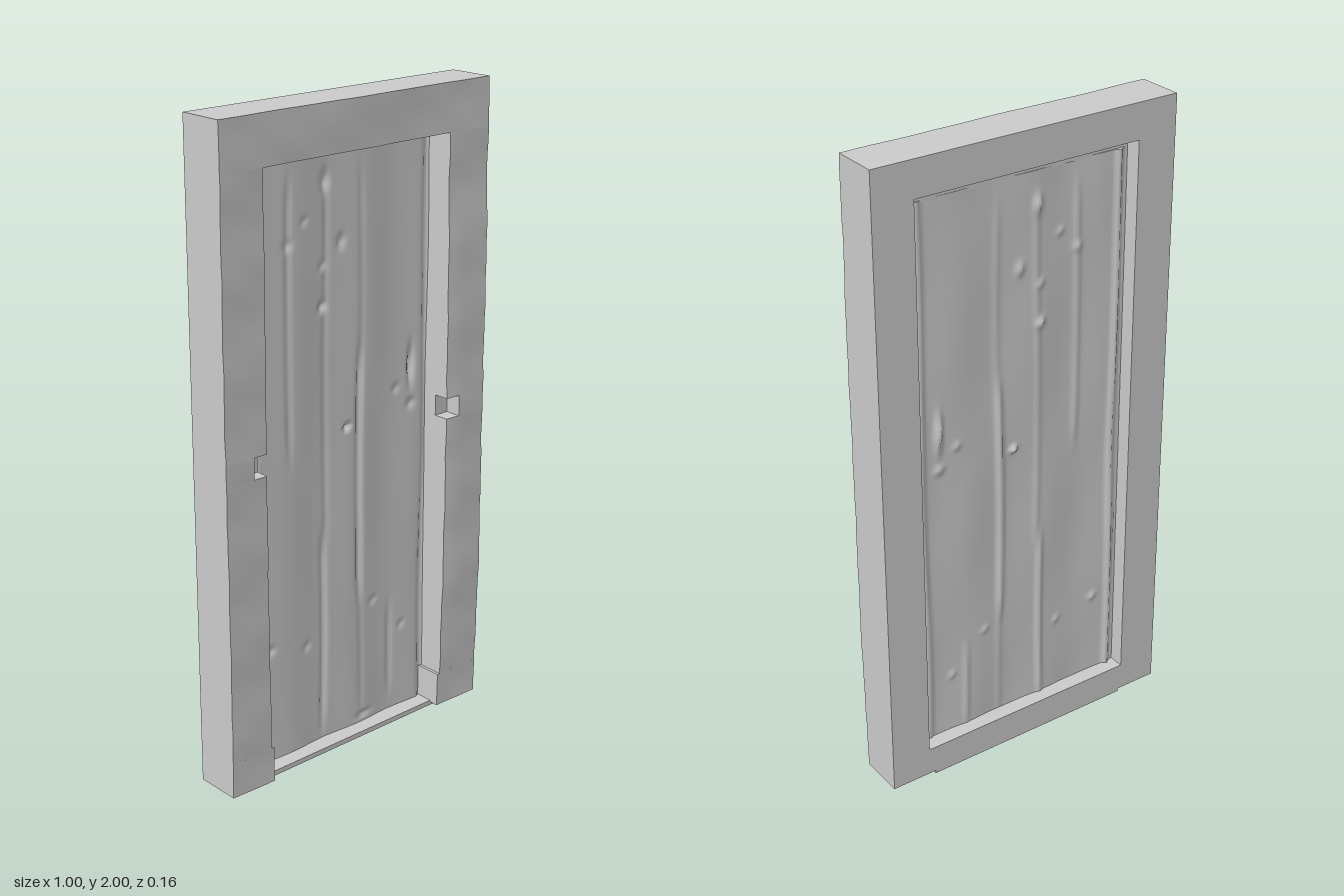
import * as THREE from 'three';

const material = new THREE.MeshStandardMaterial({ color: 0xcccccc });
const backZ = -0.08, doorZ = -0.03, faceZ = 0.067;
const openL = -0.355, openR = 0.345, openTop = 1.855;

const smooth = (a, b, v) => THREE.MathUtils.smoothstep(v, a, b);

// worn, gently wavy front of the frame; the right post bulges forward most
function wear(x, y) {
  const bulge = smooth(0.28, 0.4, x) * smooth(0.12, 0.5, y) * (1 - smooth(1.45, 1.75, y));
  return 0.008 * bulge + 0.0015 * Math.sin(x * 13 + y * 4)
    + 0.001 * Math.sin(y * 23 - x * 7) + 0.0008 * Math.sin(y * 51 + x * 31);
}

// subdivided block given by its limits, with an optional vertex rule
function block(group, name, [x0, x1], [y0, y1], [z0, z1], rule, step = 0.025) {
  const w = x1 - x0, h = y1 - y0, d = z1 - z0;
  const seg = (s) => (rule ? Math.max(1, Math.round(s / step)) : 1);
  const geometry = new THREE.BoxGeometry(w, h, d, seg(w), seg(h), 1);
  geometry.translate((x0 + x1) / 2, (y0 + y1) / 2, (z0 + z1) / 2);
  if (rule) {
    const p = geometry.attributes.position;
    const v = new THREE.Vector3();
    for (let i = 0; i < p.count; i++) {
      rule(v.fromBufferAttribute(p, i), v.z > (z0 + z1) / 2);
      p.setXYZ(i, v.x, v.y, v.z);
    }
    geometry.computeVertexNormals();
  }
  const mesh = new THREE.Mesh(geometry, material);
  mesh.name = name;
  group.add(mesh);
}

function rectangle(path, x0, x1, y0, y1) {
  path.moveTo(x0, y0).lineTo(x1, y0).lineTo(x1, y1).lineTo(x0, y1).closePath();
  return path;
}

// flat rim around the back of the door
function backRim() {
  const shape = rectangle(new THREE.Shape(), -0.5, 0.5, 0.01, 2);
  shape.holes.push(rectangle(new THREE.Path(), -0.37, 0.37, 0.1, 1.89));
  const geometry = new THREE.ExtrudeGeometry(shape, { depth: doorZ - backZ, bevelEnabled: false });
  geometry.translate(0, 0, backZ);
  const mesh = new THREE.Mesh(geometry, material);
  mesh.name = 'backRim';
  return mesh;
}

// plank joints: x, depth, lower end, upper end
const joints = [
  [-0.2, 0.005, 0.9, 1.85], [-0.075, 0.009, 0.0, 0.75], [-0.06, 0.004, 0.6, 1.85],
  [0.07, 0.009, 0.4, 1.3], [0.2, 0.005, 0.02, 0.45], [0.075, 0.003, 0, 1.85],
  [-0.338, 0.012, -1, 3], [0.336, 0.009, -1, 3],
];
// knots and nail holes: x, y, half width, half height, depth
const dents = [
  [-0.06, 1.76, 0.012, 0.025, 0.012], [-0.07, 1.4, 0.012, 0.014, 0.014],
  [0.0, 1.58, 0.012, 0.02, 0.009], [-0.07, 1.52, 0.01, 0.012, 0.008],
  [-0.2, 1.6, 0.014, 0.014, 0.006], [-0.14, 1.66, 0.01, 0.01, 0.006],
  [0.022, 1.015, 0.01, 0.009, 0.018], [0.28, 1.15, 0.009, 0.055, 0.018],
  [0.28, 1.03, 0.014, 0.014, 0.008], [0.22, 1.09, 0.012, 0.012, 0.006],
  [-0.28, 0.38, 0.012, 0.012, 0.008], [-0.14, 0.35, 0.01, 0.012, 0.006],
  [0.13, 0.42, 0.012, 0.01, 0.006], [0.25, 0.3, 0.01, 0.012, 0.006],
  [0.09, 0.04, 0.025, 0.008, 0.008],
];

function planks(v) {
  const { x, y } = v;
  let dz = 0.0025 * Math.sin(x * 24 + 0.5 * Math.sin(y * 3)) + 0.001 * Math.sin(y * 9 + x * 20);
  for (const [jx, depth, y0, y1] of joints) {
    const offset = (x - jx - 0.004 * Math.sin(y * 5 + jx * 9)) / 0.009;
    dz -= depth * Math.exp(-offset * offset) * smooth(y0, y0 + 0.15, y) * (1 - smooth(y1 - 0.15, y1, y));
  }
  for (const [cx, cy, rx, ry, depth] of dents) {
    dz -= depth * Math.exp(-(((x - cx) / rx) ** 2) - ((y - cy) / ry) ** 2);
  }
  v.z += dz;
}

export function createModel() {
  const model = new THREE.Group();
  model.name = 'door';
  const frame = new THREE.Group();
  frame.name = 'frame';
  model.add(frame);
  frame.add(backRim());

  const worn = (v, front) => { if (front) v.z += wear(v.x, v.y); };
  const depth = [doorZ, faceZ];

  // lintel
  block(frame, 'lintel', [-0.5, 0.5], [openTop, 2], depth, worn);

  // posts with a plinth at the foot and a latch pocket halfway up
  for (const [side, inner, pocket] of [[-1, openL, -0.4], [1, openR, 0.395]]) {
    const label = side > 0 ? 'left' : 'right';
    const span = (edge) => (side > 0 ? [edge, 0.5] : [-0.5, edge]);
    block(frame, label + 'Plinth', span(inner - side * 0.01), [0.01, 0.12], depth, worn);
    block(frame, label + 'LowerPost', span(inner), [0.12, 0.985], depth, worn);
    block(frame, label + 'PocketPost', span(pocket), [0.985, 1.05], depth, worn);
    block(frame, label + 'PocketFloor', side > 0 ? [inner, pocket] : [pocket, inner], [0.985, 1.05], [doorZ, 0.025]);
    block(frame, label + 'UpperPost', span(inner), [1.05, openTop], depth, worn);
  }

  // threshold
  block(frame, 'threshold', [-0.36, 0.35], [0, 0.016], [backZ, 0.035]);

  // door leaf of worn planks, dented through on both sides
  block(model, 'doorLeaf', [openL - 0.004, openR + 0.004], [0.012, openTop + 0.004], [-0.03, -0.018], planks, 0.0085);

  return model;
}
